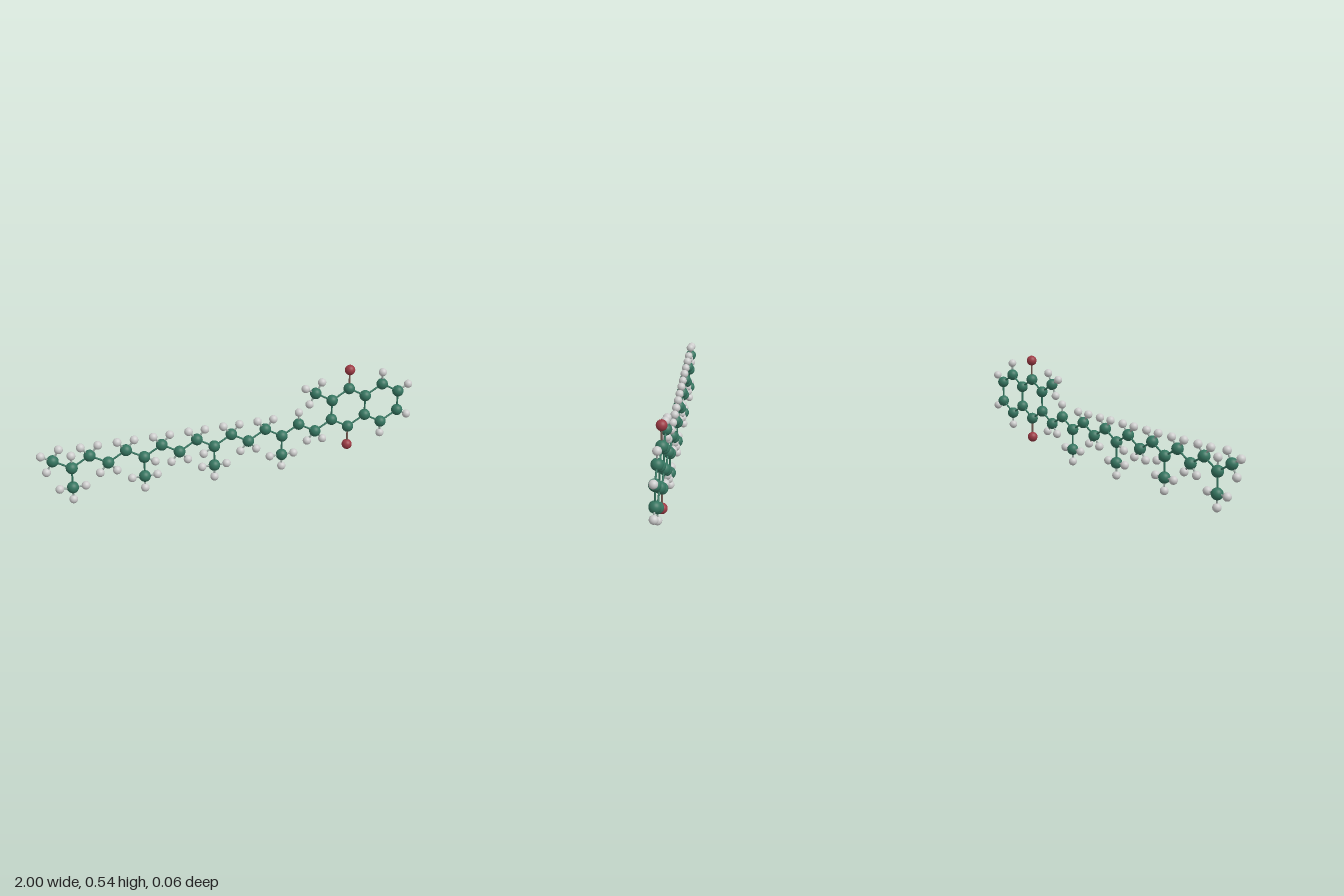
import * as THREE from 'three';

// atom kinds: radius and colour
const KINDS = {
  carbon: { r: 0.0297, color: 0x357560 },
  oxygen: { r: 0.0267, color: 0x9c3a44 },
  hydrogen: { r: 0.0215, color: 0xcccccc },
};
const BOND_R = 0.0048, CC = 0.107, CH = 0.0657;
const LOW = 0.194, HIGH = 0.247;

export function createModel() {
  const model = new THREE.Group();
  model.name = 'molecule';
  const balls = {}, materials = {}, bondMaterials = {};
  for (const k in KINDS) {
    balls[k] = new THREE.SphereGeometry(KINDS[k].r, 24, 16);
    materials[k] = new THREE.MeshStandardMaterial({ color: KINDS[k].color });
    // sticks blend the colours of the two atoms they join
    bondMaterials[k] = new THREE.MeshStandardMaterial({
      color: new THREE.Color(KINDS.carbon.color).lerp(new THREE.Color(KINDS[k].color), 0.5),
    });
  }

  const atom = (kind, x, y, parent) => {
    const m = new THREE.Mesh(balls[kind], materials[kind]);
    m.name = kind + 'Atom';
    m.position.set(x, y, 0);
    parent.add(m);
    return { kind, p: m.position, parent };
  };
  const bond = (a, b) => {
    const d = b.p.clone().sub(a.p);
    const m = new THREE.Mesh(
      new THREE.CylinderGeometry(BOND_R, BOND_R, d.length(), 12, 1, true), bondMaterials[b.kind]);
    m.name = 'bond';
    m.position.copy(a.p).add(b.p).multiplyScalar(0.5);
    m.quaternion.setFromUnitVectors(new THREE.Vector3(0, 1, 0), d.normalize());
    b.parent.add(m);
  };
  // adds an atom bonded to a, in the given direction in degrees
  const attach = (a, kind, deg, len = kind === 'hydrogen' ? CH : CC) => {
    const t = THREE.MathUtils.degToRad(deg);
    const b = atom(kind, a.p.x + len * Math.cos(t), a.p.y + len * Math.sin(t), a.parent);
    bond(a, b);
    return b;
  };
  const hydrogens = (a, ...degs) => degs.forEach((d) => attach(a, 'hydrogen', d));
  const part = (name) => {
    const g = new THREE.Group();
    g.name = name;
    model.add(g);
    return g;
  };

  // two fused six-sided rings
  const rings = part('fusedRings');
  const S = 0.0938, x0 = 0.546, mid = 0.3, inner = 0.0538, outer = 0.1077;
  const upper = [], lower = [];
  for (let i = 0; i < 5; i++) {
    const h = i % 2 ? outer : inner;
    upper.push(atom('carbon', x0 + i * S, mid + h, rings));
    lower.push(atom('carbon', x0 + i * S, mid - h, rings));
    if (i) {
      bond(upper[i - 1], upper[i]);
      bond(lower[i - 1], lower[i]);
    }
    if (i % 2 === 0) bond(lower[i], upper[i]);
  }
  attach(upper[1], 'oxygen', 90, 0.1045);
  attach(lower[1], 'oxygen', -90, 0.1045);
  hydrogens(upper[3], 90);
  hydrogens(upper[4], 30);
  hydrogens(lower[3], -90);
  hydrogens(lower[4], -30);
  hydrogens(attach(upper[0], 'carbon', 150), 150, 60, 240);

  // zigzag chain leading to the rings
  const chain = part('zigzagChain');
  const start = -0.9216, step = (x0 - start) / 16;
  const branched = [1, 5, 9, 13];
  const single = { 1: [90], 5: [-30], 9: [210], 13: [], 14: [90] };
  let prev = null;
  for (let i = 0; i < 16; i++) {
    const c = atom('carbon', start + i * step, i % 2 ? LOW : HIGH, chain);
    if (prev) bond(prev, c);
    prev = c;
    if (i === 0) hydrogens(c, 150, 60, 240);
    else if (single[i]) hydrogens(c, ...single[i]);
    else hydrogens(c, ...(i % 2 ? [-131, -49] : [131, 49]));
    // hanging side groups
    if (branched.includes(i)) hydrogens(attach(c, 'carbon', -90), 180, 0, -90);
  }
  bond(prev, lower[0]);

  // rest the lowest atoms on the ground
  const box = new THREE.Box3().setFromObject(model);
  model.position.y = -box.min.y;
  return model;
}
